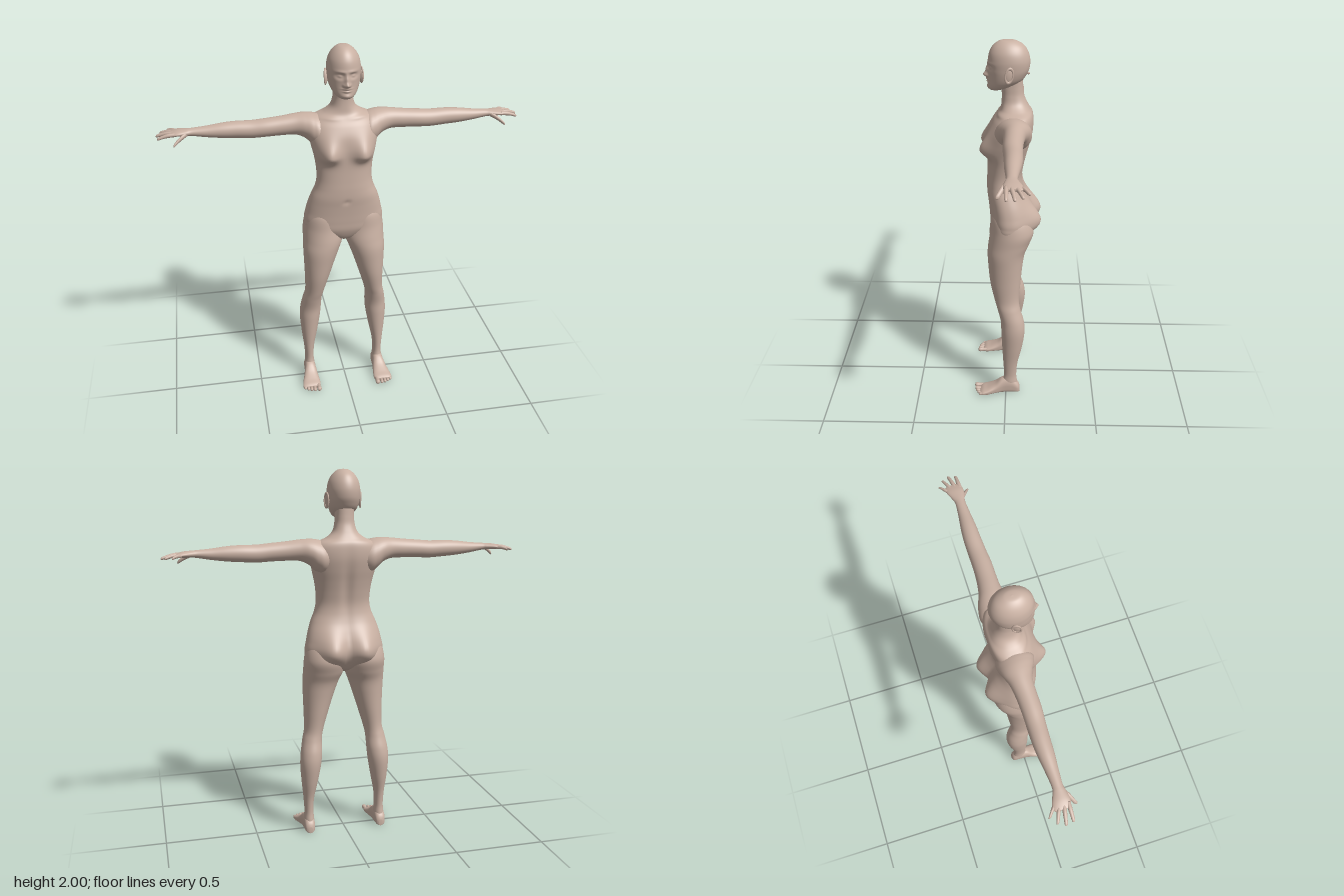
import * as THREE from 'three';

const skin = new THREE.MeshStandardMaterial({ color: 0xc9b1a3 });
skin.name = 'skin';

const bell = (d, s) => Math.exp(-(d * d) / (2 * s * s));
const spow = (v, e) => Math.sign(v) * Math.abs(v) ** e;

// Smooth interpolation through rows of numbers, t from 0 to 1
function sampleRow(rows, t) {
  const f = t * (rows.length - 1);
  const i = Math.min(Math.floor(f), rows.length - 2);
  const u = f - i;
  const at = (k) => rows[Math.max(0, Math.min(rows.length - 1, k))];
  const [a, b, c, d] = [at(i - 1), at(i), at(i + 1), at(i + 2)];
  return b.map((_, k) => 0.5 * (2 * b[k] + (c[k] - a[k]) * u
    + (2 * a[k] - 5 * b[k] + 4 * c[k] - d[k]) * u * u
    + (3 * b[k] - a[k] - 3 * c[k] + d[k]) * u * u * u));
}

// Closed skin over cross-sections; place(row, cos, sin) returns a point
function loft(name, rows, place, steps = 60, seg = 40) {
  const pos = [], index = [], ends = [];
  for (let j = 0; j <= steps; j++) {
    const row = sampleRow(rows, j / steps);
    const mid = [0, 0, 0];
    for (let i = 0; i < seg; i++) {
      const a = (i / seg) * Math.PI * 2;
      const p = place(row, Math.cos(a), Math.sin(a));
      pos.push(...p);
      p.forEach((v, k) => { mid[k] += v / seg; });
      if (j < steps) {
        const n = (i + 1) % seg, q = j * seg, r = q + seg;
        index.push(q + i, r + i, q + n, q + n, r + i, r + n);
      }
    }
    if (j === 0 || j === steps) ends.push(mid);
  }
  const c0 = pos.length / 3, last = steps * seg;
  pos.push(...ends[0], ...ends[1]);
  for (let i = 0; i < seg; i++) {
    const n = (i + 1) % seg;
    index.push(c0, i, n, c0 + 1, last + n, last + i);
  }
  // Turn the faces outward if the enclosed volume comes out negative
  const v = (i) => new THREE.Vector3().fromArray(pos, i * 3);
  let volume = 0;
  for (let i = 0; i < index.length; i += 3) {
    volume += v(index[i]).dot(v(index[i + 1]).cross(v(index[i + 2])));
  }
  if (volume < 0) index.reverse();
  const geo = new THREE.BufferGeometry();
  geo.setAttribute('position', new THREE.Float32BufferAttribute(pos, 3));
  geo.setIndex(index);
  geo.computeVertexNormals();
  const mesh = new THREE.Mesh(geo, skin);
  mesh.name = name;
  return mesh;
}

// Torso and neck: y, half width, back z, front z
function torso() {
  const rows = [
    [0.925, 0.03, -0.05, 0.03], [0.95, 0.1, -0.09, 0.06], [1.0, 0.205, -0.12, 0.082],
    [1.05, 0.216, -0.13, 0.088], [1.1, 0.207, -0.125, 0.092], [1.15, 0.195, -0.113, 0.097],
    [1.2, 0.178, -0.098, 0.103], [1.25, 0.157, -0.088, 0.104], [1.3, 0.147, -0.086, 0.102],
    [1.36, 0.149, -0.096, 0.1], [1.42, 0.158, -0.11, 0.1], [1.48, 0.172, -0.126, 0.1],
    [1.54, 0.182, -0.138, 0.092], [1.59, 0.178, -0.14, 0.07], [1.625, 0.152, -0.135, 0.045],
    [1.65, 0.1, -0.12, 0.031], [1.68, 0.066, -0.105, 0.026], [1.72, 0.053, -0.09, 0.024],
    [1.76, 0.05, -0.085, 0.027], [1.8, 0.05, -0.083, 0.03],
  ];
  return loft('torso', rows, ([y, w, zb, zf], c, s) => {
    const x = w * spow(c, 0.88), ax = Math.abs(x);
    let z = (zb + zf) / 2 + ((zf - zb) / 2) * spow(s, 0.88);
    const side = Math.min(1, Math.abs(s) * 2.5);
    if (s > 0) {
      z += side * (0.05 * bell(ax - 0.093, 0.036) * bell(y - 1.447, y > 1.447 ? 0.052 : 0.027)
        - 0.006 * bell(x, 0.01) * bell(y - 1.18, 0.01)
        + 0.005 * bell(y - 1.625 - ax * 0.08, 0.008) * bell(ax - 0.08, 0.04));
    } else {
      z -= side * (0.062 * bell(ax - 0.088, 0.052) * bell(y - 1.045, y > 1.045 ? 0.07 : 0.055)
        - 0.012 * bell(x, 0.02) * bell(y - 1.37, 0.12));
    }
    return [x, y, z];
  }, 150, 96);
}

// Head with a softly modelled face: y, half width, back z, front z
function head() {
  const rows = [
    [2.0, 0.002, -0.012, -0.006], [1.995, 0.03, -0.05, 0.034], [1.973, 0.057, -0.087, 0.066],
    [1.94, 0.077, -0.109, 0.086], [1.9, 0.086, -0.119, 0.094], [1.86, 0.086, -0.116, 0.095],
    [1.83, 0.083, -0.104, 0.092], [1.8, 0.075, -0.084, 0.092], [1.775, 0.062, -0.05, 0.094],
    [1.757, 0.045, -0.005, 0.092], [1.747, 0.026, 0.03, 0.082], [1.744, 0.003, 0.055, 0.06],
  ];
  return loft('head', rows, ([y, w, zb, zf], c, s) => {
    const x = w * c, ax = Math.abs(x);
    let z = (zb + zf) / 2 + ((zf - zb) / 2) * s;
    const spot = (amp, px, py, sx, sy) => amp * bell(ax - px, sx) * bell(y - py, sy);
    if (s > 0) {
      z += Math.min(1, s * 3) * (
        spot(0.022, 0, 1.823, 0.009, 0.01) + spot(0.012, 0, 1.848, 0.008, 0.018) // nose
        + spot(0.007, 0.014, 1.82, 0.005, 0.006)
        - spot(0.014, 0.033, 1.867, 0.015, 0.01) + spot(0.009, 0.034, 1.866, 0.009, 0.006) // eyes
        + spot(0.004, 0.03, 1.888, 0.018, 0.006) // brow
        + spot(0.008, 0, 1.803, 0.015, 0.004) + spot(0.008, 0, 1.79, 0.013, 0.004) // lips
        + spot(0.006, 0, 1.765, 0.016, 0.008) // chin
      );
    }
    return [x, y, z];
  }, 150, 112);
}

// Ear: flattened shell with a raised rim
function ear(s) {
  const group = new THREE.Group();
  group.name = s > 0 ? 'leftEar' : 'rightEar';
  const shell = new THREE.Mesh(new THREE.SphereGeometry(1, 24, 16), skin);
  shell.name = 'earShell';
  shell.scale.set(0.008, 0.036, 0.02);
  const rim = new THREE.Mesh(new THREE.TorusGeometry(0.02, 0.0045, 10, 32), skin);
  rim.name = 'earRim';
  rim.rotation.y = Math.PI / 2;
  rim.scale.y = 1.8;
  rim.position.x = s * 0.004;
  group.add(shell, rim);
  group.position.set(s * 0.088, 1.84, -0.014);
  group.rotation.set(-0.15, s * 0.3, 0);
  return group;
}

// Leg: y, inner x, outer x, back z, front z
function leg(s) {
  const rows = [
    [1.14, 0.06, 0.16, -0.05, 0.05], [1.08, 0.02, 0.203, -0.12, 0.077], [1.0, 0.002, 0.222, -0.148, 0.084],
    [0.93, 0.005, 0.225, -0.128, 0.095], [0.87, 0.028, 0.227, -0.102, 0.1], [0.8, 0.053, 0.225, -0.09, 0.096],
    [0.7, 0.085, 0.222, -0.08, 0.085], [0.6, 0.115, 0.222, -0.072, 0.062], [0.54, 0.127, 0.235, -0.08, 0.045],
    [0.47, 0.13, 0.248, -0.1, 0.028], [0.4, 0.137, 0.253, -0.105, 0.025], [0.3, 0.155, 0.246, -0.09, 0.02],
    [0.2, 0.175, 0.235, -0.067, 0.014], [0.12, 0.18, 0.23, -0.06, 0.01], [0.07, 0.176, 0.234, -0.065, 0.018],
    [0.03, 0.18, 0.23, -0.07, 0.018],
  ];
  return loft(s > 0 ? 'leftLeg' : 'rightLeg', rows, ([y, a, b, zb, zf], c, n) => [
    s * ((a + b) / 2 + ((b - a) / 2) * c), y, (zb + zf) / 2 + ((zf - zb) / 2) * n], 110, 48);
}

// Foot: z, inner x, outer x, top y, with toes
function foot(s) {
  const group = new THREE.Group();
  group.name = s > 0 ? 'leftFoot' : 'rightFoot';
  const rows = [
    [-0.08, 0.195, 0.215, 0.035], [-0.068, 0.18, 0.232, 0.062], [-0.03, 0.174, 0.237, 0.098],
    [0.02, 0.172, 0.24, 0.09], [0.06, 0.167, 0.25, 0.059], [0.1, 0.162, 0.261, 0.038],
    [0.13, 0.162, 0.265, 0.027], [0.145, 0.168, 0.26, 0.018],
  ];
  group.add(loft('footBody', rows, ([z, a, b, top], c, n) => [
    s * ((a + b) / 2 + ((b - a) / 2) * spow(c, 0.8)), (top / 2) * (1 + spow(n, n < 0 ? 0.45 : 1)), z], 40, 40));
  const toes = [[0.175, 0.18, 0.013], [0.2, 0.178, 0.01], [0.219, 0.173, 0.0095], [0.237, 0.165, 0.009], [0.254, 0.154, 0.009]];
  for (const [x, tip, r] of toes) {
    const toe = [[tip - 0.055, r * 0.8], [tip - 0.03, r * 0.85], [tip - 0.012, r], [tip - 0.003, r * 0.75], [tip, r * 0.1]];
    group.add(loft('toe', toe, ([z, q], c, n) => [s * (x + q * c), r + q * n, z], 20, 16));
  }
  return group;
}

// Arm and palm: x, bottom y, top y, back z, front z
function arm(s) {
  const rows = [
    [0.06, 1.5, 1.6, -0.1, 0.0], [0.12, 1.46, 1.632, -0.13, 0.055], [0.16, 1.475, 1.643, -0.13, 0.05],
    [0.2, 1.513, 1.646, -0.119, 0.03], [0.25, 1.533, 1.643, -0.102, 0.013], [0.32, 1.535, 1.635, -0.092, 0.01],
    [0.4, 1.533, 1.628, -0.088, 0.01], [0.47, 1.53, 1.622, -0.088, 0.005], [0.55, 1.535, 1.622, -0.088, 0.0],
    [0.62, 1.54, 1.618, -0.083, -0.003], [0.7, 1.55, 1.608, -0.073, -0.01], [0.77, 1.562, 1.602, -0.067, -0.015],
    [0.8, 1.565, 1.6, -0.074, -0.01], [0.84, 1.566, 1.597, -0.09, -0.004], [0.868, 1.567, 1.591, -0.094, -0.008],
    [0.882, 1.573, 1.586, -0.085, -0.02],
  ];
  return loft(s > 0 ? 'leftArm' : 'rightArm', rows, ([x, yb, yt, zb, zf], c, n) => [
    s * x, (yb + yt) / 2 + ((yt - yb) / 2) * n, (zb + zf) / 2 + ((zf - zb) / 2) * c], 110, 40);
}

// Fingers and thumb: centre x, y, z and radius along each digit
function fingers(s) {
  const group = new THREE.Group();
  group.name = s > 0 ? 'leftFingers' : 'rightFingers';
  const digits = [
    ['thumb', [0.795, 1.58, -0.025], [0.868, 1.533, 0.022], 0.0115],
    ['indexFinger', [0.855, 1.58, -0.018], [0.946, 1.56, -0.02], 0.0095],
    ['middleFinger', [0.86, 1.581, -0.04], [0.953, 1.563, -0.058], 0.0095],
    ['ringFinger', [0.858, 1.58, -0.062], [0.935, 1.566, -0.093], 0.009],
    ['littleFinger', [0.85, 1.578, -0.082], [0.9, 1.568, -0.12], 0.0085],
  ];
  for (const [name, a, b, r] of digits) {
    const rows = [[0, 1.1], [0.35, 1.1], [0.6, 0.95], [0.85, 0.85], [0.96, 0.65], [1, 0.08]].map(([t, k]) => [
      a[0] + (b[0] - a[0]) * t, a[1] + (b[1] - a[1]) * t + 0.02 * t * (1 - t),
      a[2] + (b[2] - a[2]) * t, r * k]);
    group.add(loft(name, rows, ([x, y, z, q], c, n) => [s * x, y + q * n, z + q * c], 24, 16));
  }
  return group;
}

export function createModel() {
  const model = new THREE.Group();
  model.name = 'figure';
  model.add(torso(), head());
  for (const s of [1, -1]) model.add(ear(s), arm(s), fingers(s), leg(s), foot(s));
  return model;
}
